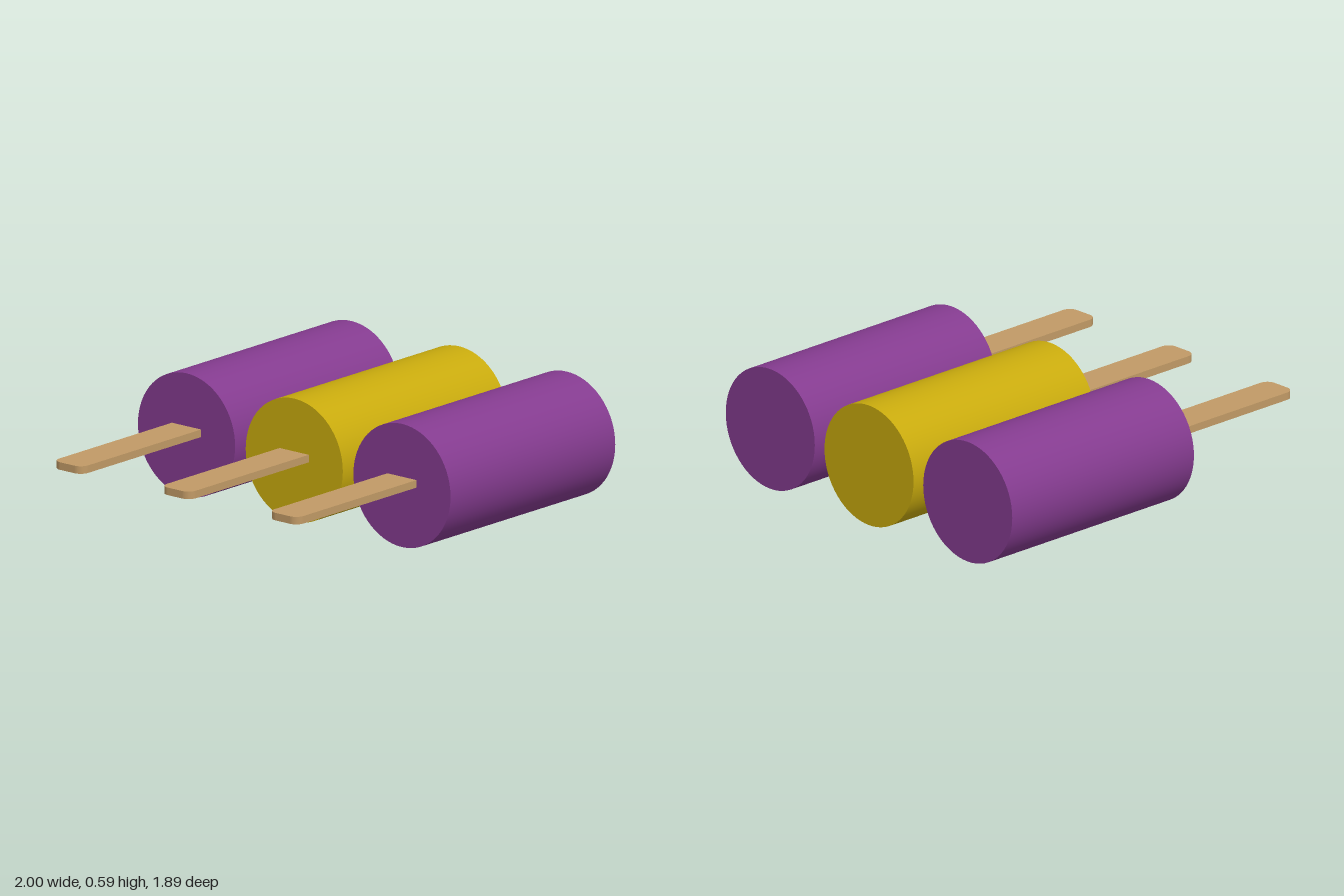
import * as THREE from 'three';

const purple = new THREE.MeshStandardMaterial({ color: 0x843b8f });
purple.name = 'purple';
const yellow = new THREE.MeshStandardMaterial({ color: 0xc8aa0d });
yellow.name = 'yellow';
const wood = new THREE.MeshStandardMaterial({ color: 0xc19a66 });
wood.name = 'wood';

const RADIUS = 0.294;
const ICE_START = -0.16, ICE_END = 1;
const STICK_HALF = 0.088, STICK_BOTTOM = 0.3, STICK_THICK = 0.036, CORNER = 0.045;

// Flat stick with a rounded outer end, reaching a little way into the ice
function stickGeometry() {
  const x0 = -1, x1 = 0, h = STICK_HALF, r = CORNER;
  const s = new THREE.Shape();
  s.moveTo(x1, -h);
  s.lineTo(x1, h);
  s.lineTo(x0 + r, h);
  s.absarc(x0 + r, h - r, r, Math.PI / 2, Math.PI, false);
  s.lineTo(x0, -h + r);
  s.absarc(x0 + r, -h + r, r, Math.PI, Math.PI * 1.5, false);
  s.closePath();
  const g = new THREE.ExtrudeGeometry(s, { depth: STICK_THICK, bevelEnabled: false, curveSegments: 8 });
  g.rotateX(-Math.PI / 2);
  g.translate(0, STICK_BOTTOM, 0);
  return g;
}

// Round bar of ice lying along x
function iceGeometry() {
  const g = new THREE.CylinderGeometry(RADIUS, RADIUS, ICE_END - ICE_START, 64);
  g.rotateZ(-Math.PI / 2);
  g.translate((ICE_START + ICE_END) / 2, RADIUS, 0);
  return g;
}

export function createModel() {
  const model = new THREE.Group();
  model.name = 'icePops';
  const ice = iceGeometry(), stick = stickGeometry();

  // Three pops side by side
  [['backPop', -0.652, purple], ['middlePop', 0, yellow], ['frontPop', 0.652, purple]].forEach(([name, z, flavour]) => {
    const pop = new THREE.Group();
    pop.name = name;
    const bar = new THREE.Mesh(ice, flavour);
    bar.name = 'iceBar';
    const handle = new THREE.Mesh(stick, wood);
    handle.name = 'stick';
    pop.add(bar, handle);
    pop.position.z = z;
    model.add(pop);
  });
  return model;
}
